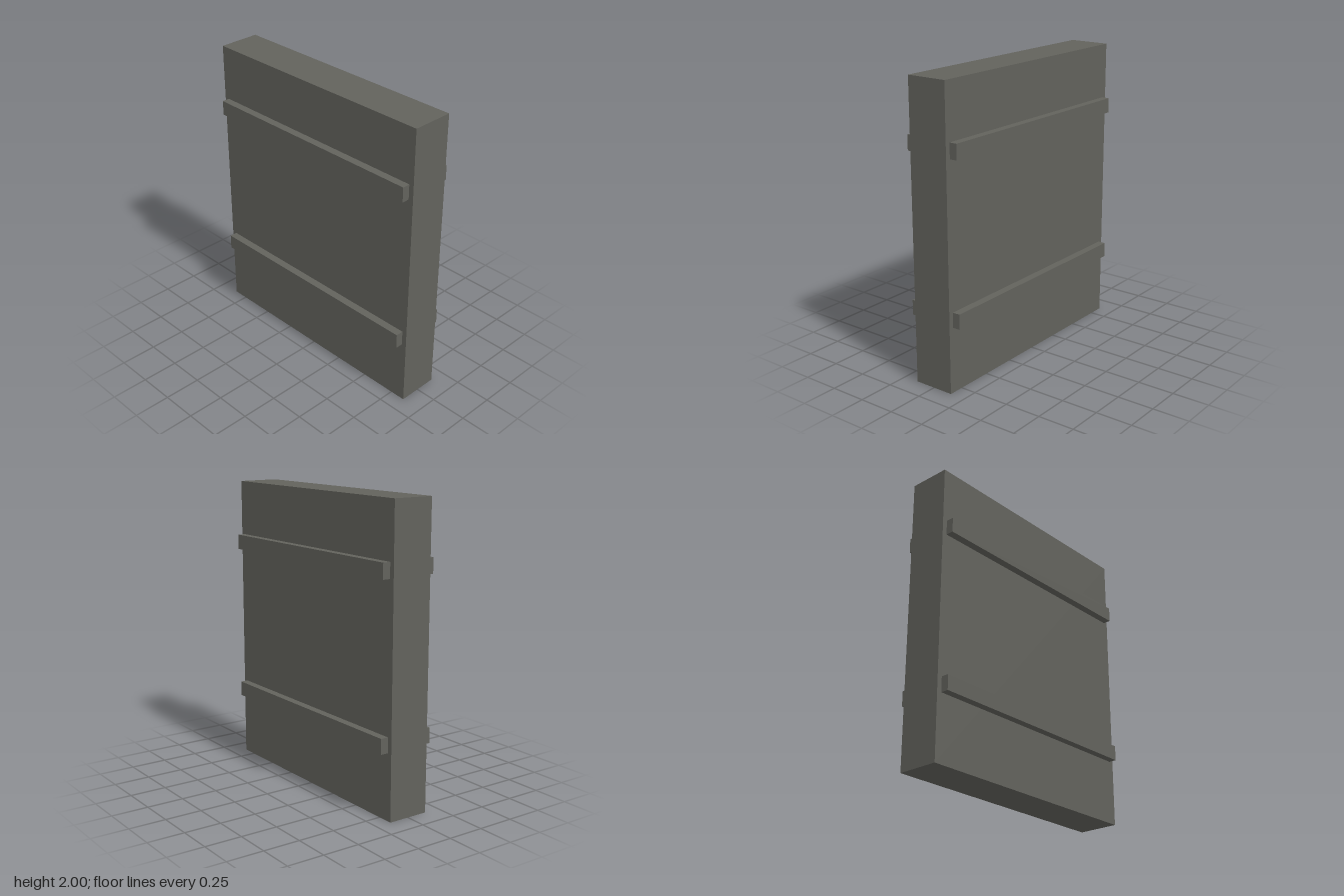
import * as THREE from 'three';

export function createModel() {
  const model = new THREE.Group();
  model.name = 'battenedPanel';
  const darkGrey = new THREE.MeshStandardMaterial({ color: 0x62625c });
  darkGrey.name = 'darkGrey';

  const addBox = (name, w, h, d, y, z) => {
    const mesh = new THREE.Mesh(new THREE.BoxGeometry(w, h, d), darkGrey);
    mesh.name = name;
    mesh.position.set(0, y, z);
    model.add(mesh);
  };

  // Thick upright slab
  const depth = 0.284;
  addBox('panel', 1.714, 2, depth, 1, 0);

  // Two horizontal battens on each face
  const proud = 0.053;
  for (const [side, sign] of [['front', 1], ['back', -1]]) {
    for (const [level, y] of [['Lower', 0.494], ['Upper', 1.575]]) {
      addBox(`${side}${level}Batten`, 1.646, 0.102, proud, y, sign * (depth + proud) / 2);
    }
  }
  return model;
}
